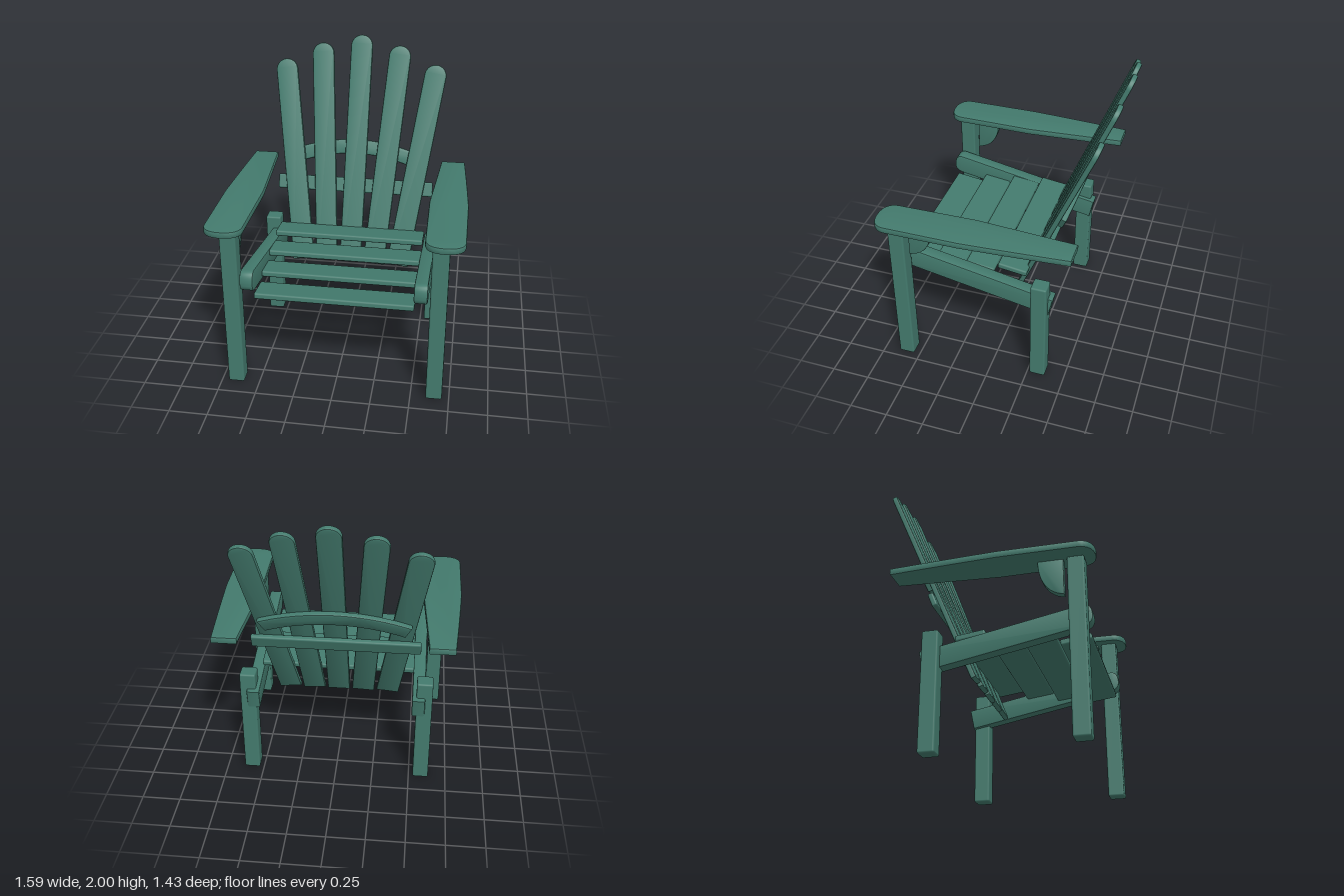
import * as THREE from 'three';
import { RoundedBoxGeometry } from 'three/addons/geometries/RoundedBoxGeometry.js';
import { toCreasedNormals } from 'three/addons/utils/BufferGeometryUtils.js';

const paint = new THREE.MeshStandardMaterial({ color: 0x437a6d });

function part(name, geometry, x = 0, y = 0, z = 0) {
  const mesh = new THREE.Mesh(geometry, paint);
  mesh.name = name;
  mesh.position.set(x, y, z);
  return mesh;
}

// Square-cut timber with eased edges
const timber = (w, h, d, r = 0.012) => new RoundedBoxGeometry(w, h, d, 2, r);

// Shaped board of thickness t with eased edges, centred on its thickness
function board(shape, t, bevel = 0.01) {
  const geo = new THREE.ExtrudeGeometry(shape, {
    depth: t - 2 * bevel, bevelThickness: bevel, bevelSize: bevel,
    bevelOffset: -bevel, bevelSegments: 2, curveSegments: 12,
  });
  geo.translate(0, 0, bevel - t / 2);
  return toCreasedNormals(geo, 0.6);
}

// Back slat: flat foot at the origin, half-round top
function slatShape(length, r) {
  const s = new THREE.Shape();
  s.moveTo(-r, 0);
  s.lineTo(r, 0);
  s.lineTo(r, length - r);
  s.absarc(0, length - r, r, 0, Math.PI, false);
  s.closePath();
  return s;
}

// Curved brace: a band between two arcs, middle of its crown at the origin
function archShape(radius, width, halfAngle) {
  const a = Math.PI / 2 - halfAngle, b = Math.PI / 2 + halfAngle;
  const s = new THREE.Shape();
  s.absarc(0, -radius, radius + width / 2, a, b, false);
  s.absarc(0, -radius, radius - width / 2, b, a, true);
  s.closePath();
  return s;
}

// Arm outline in x and z, tapering to the back, rounded at the front
function armShape(side) {
  const s = new THREE.Shape();
  const x = v => v * side;
  s.moveTo(x(0.59), -0.552);
  s.lineTo(x(0.752), -0.552);
  s.quadraticCurveTo(x(0.782), -0.15, x(0.797), 0.14);
  s.lineTo(x(0.797), 0.62);
  s.bezierCurveTo(x(0.795), 0.68, x(0.75), 0.712, x(0.675), 0.712);
  s.bezierCurveTo(x(0.6), 0.712, x(0.555), 0.68, x(0.553), 0.62);
  s.lineTo(x(0.545), 0.1);
  s.closePath();
  return s;
}

// Sloping seat rail in z and y, rounded at the front
function railShape() {
  const s = new THREE.Shape();
  s.moveTo(-0.403, 0.652);
  s.lineTo(-0.376, 0.517);
  s.lineTo(0.6, 0.703);
  s.quadraticCurveTo(0.665, 0.715, 0.664, 0.77);
  s.quadraticCurveTo(0.66, 0.855, 0.6, 0.846);
  s.closePath();
  return s;
}

// Arm bracket in z and y, with a curved rear edge
function bracketShape() {
  const s = new THREE.Shape();
  s.moveTo(0.515, 0.88);
  s.lineTo(0.515, 1.115);
  s.lineTo(0.358, 1.115);
  s.bezierCurveTo(0.358, 0.98, 0.42, 0.89, 0.515, 0.88);
  return s;
}

export function createModel() {
  const chair = new THREE.Group();
  chair.name = 'slattedArmchair';

  // Legs, rails, brackets and arms on both sides
  for (const side of [1, -1]) {
    const frame = new THREE.Group();
    frame.name = side > 0 ? 'leftFrame' : 'rightFrame';
    frame.add(part('frontLeg', timber(0.105, 1.11, 0.105), side * 0.652, 0.555, 0.592));
    frame.add(part('rearLeg', timber(0.105, 0.765, 0.105), side * 0.58, 0.3825, -0.32));
    frame.add(part('seatRail', board(railShape(), 0.085).rotateY(-Math.PI / 2), side * 0.543));
    frame.add(part('armBracket', board(bracketShape(), 0.05, 0.005).rotateY(-Math.PI / 2), side * 0.652));
    frame.add(part('arm', board(armShape(side), 0.045).rotateX(Math.PI / 2), 0, 1.133));
    chair.add(frame);
  }

  // Seat slats, stepping down toward the front
  for (let i = 0; i < 4; i++) {
    const slat = part('seatSlat', timber(1.01, 0.04, 0.193), 0, 0.764 - i * 0.033, -0.108 + i * 0.218);
    slat.rotation.x = -0.13;
    chair.add(slat);
  }

  // Reclined back: a fan of five slats on two braces
  const back = new THREE.Group();
  back.name = 'back';
  back.position.set(0, 0.537, -0.115);
  back.rotation.x = -0.385;
  const lengths = [1.575, 1.515, 1.405];
  for (let i = -2; i <= 2; i++) {
    const slat = part('backSlat', board(slatShape(lengths[Math.abs(i)], 0.075), 0.035), i * 0.165);
    slat.rotation.z = -i * THREE.MathUtils.degToRad(4);
    back.add(slat);
  }
  back.add(part('straightBrace', timber(1.085, 0.1, 0.037), 0, 0.537, -0.032));
  back.add(part('archedBrace', board(archShape(1.13, 0.1, 0.42), 0.037), 0, 0.807, -0.034));
  chair.add(back);

  return chair;
}
